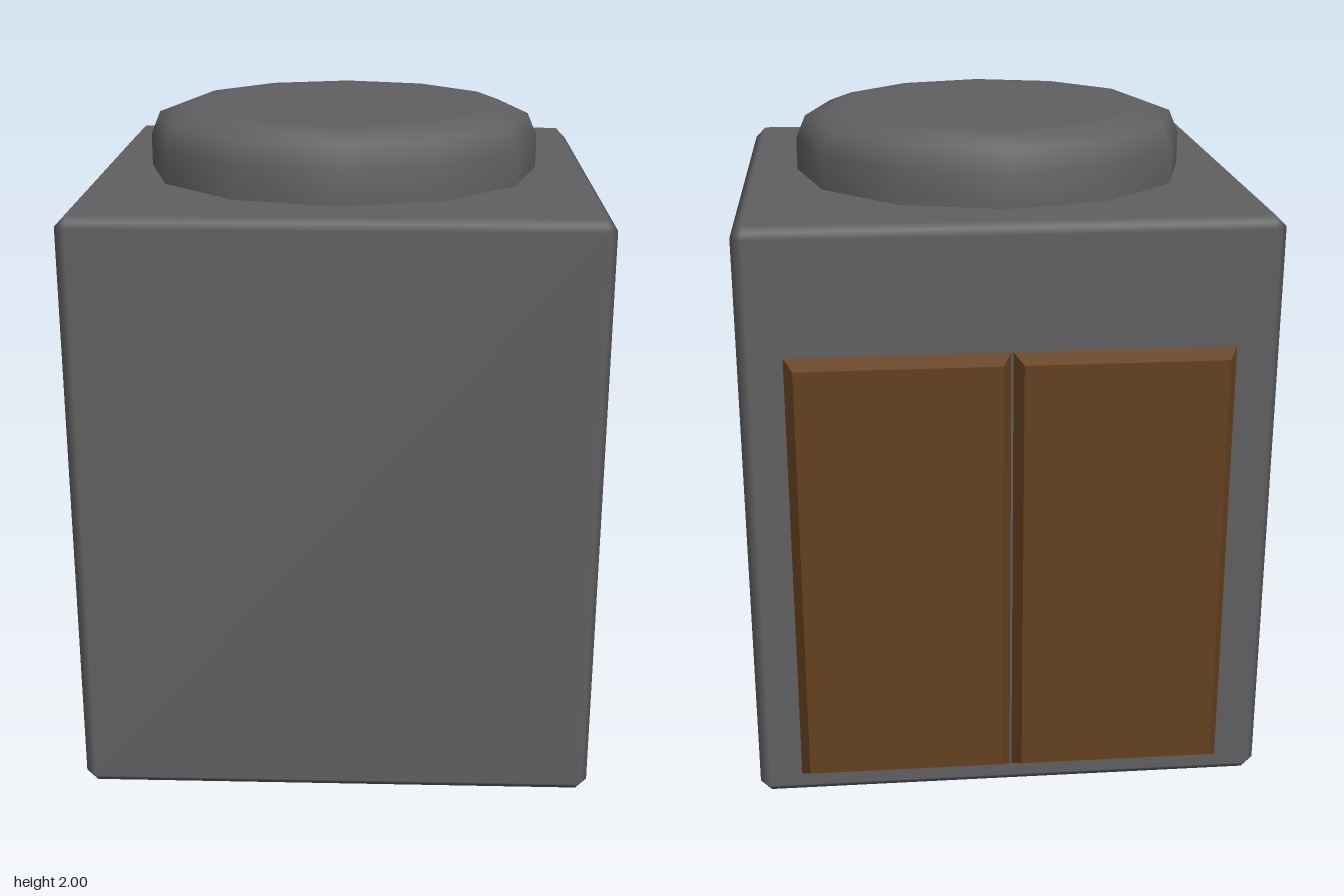
import * as THREE from 'three';
import { RoundedBoxGeometry } from 'three/addons/geometries/RoundedBoxGeometry.js';

// Box with one straight chamfer along each edge, shaded smoothly across it
function chamferedBox(w, h, d, r) {
  const geo = new RoundedBoxGeometry(w, h, d, 1, r);
  const pos = geo.attributes.position, nor = geo.attributes.normal;
  const p = new THREE.Vector3(), n = new THREE.Vector3();
  for (let i = 0; i < pos.count; i++) {
    p.fromBufferAttribute(pos, i);
    n.fromBufferAttribute(nor, i);
    const flat = r / (Math.abs(n.x) + Math.abs(n.y) + Math.abs(n.z));
    p.addScaledVector(n, flat - r);
    pos.setXYZ(i, p.x, p.y, p.z);
  }
  return geo;
}

// Panel whose back face (-z) is inset on all four sides
function bevelledPanel(w, h, d, inset) {
  const geo = new THREE.BoxGeometry(w, h, d);
  const pos = geo.attributes.position;
  for (let i = 0; i < pos.count; i++) {
    if (pos.getZ(i) > 0) continue;
    pos.setX(i, pos.getX(i) - Math.sign(pos.getX(i)) * inset);
    pos.setY(i, pos.getY(i) - Math.sign(pos.getY(i)) * inset);
  }
  const flat = geo.toNonIndexed();
  flat.computeVertexNormals();
  return flat;
}

export function createModel() {
  const group = new THREE.Group();
  const grey = new THREE.MeshStandardMaterial({ color: 0x606062 });
  grey.name = 'darkGrey';
  const brown = new THREE.MeshStandardMaterial({ color: 0x64411f });
  brown.name = 'brown';

  function add(name, geo, mat, x, y, z) {
    const mesh = new THREE.Mesh(geo, mat);
    mesh.name = name;
    mesh.position.set(x, y, z);
    group.add(mesh);
  }

  // Main block
  add('body', chamferedBox(1.555, 1.8, 1.555, 0.033), grey, 0, 0.9, 0.0225);

  // Twelve-sided cap with a softened rim
  const profile = [[0.61, 1.78], [0.61, 1.9], [0.58, 1.97], [0.5, 2], [0.44, 2], [0, 2]]
    .map(([r, y]) => new THREE.Vector2(r, y));
  add('cap', new THREE.LatheGeometry(profile, 12), grey, 0, 0, 0.0225);

  // Pair of bevelled panels on the back
  for (const side of [-1, 1]) {
    add(side > 0 ? 'leftBackPanel' : 'rightBackPanel',
      bevelledPanel(0.65, 1.36, 0.05, 0.03), brown, side * 0.325, 0.75, -0.775);
  }
  return group;
}
